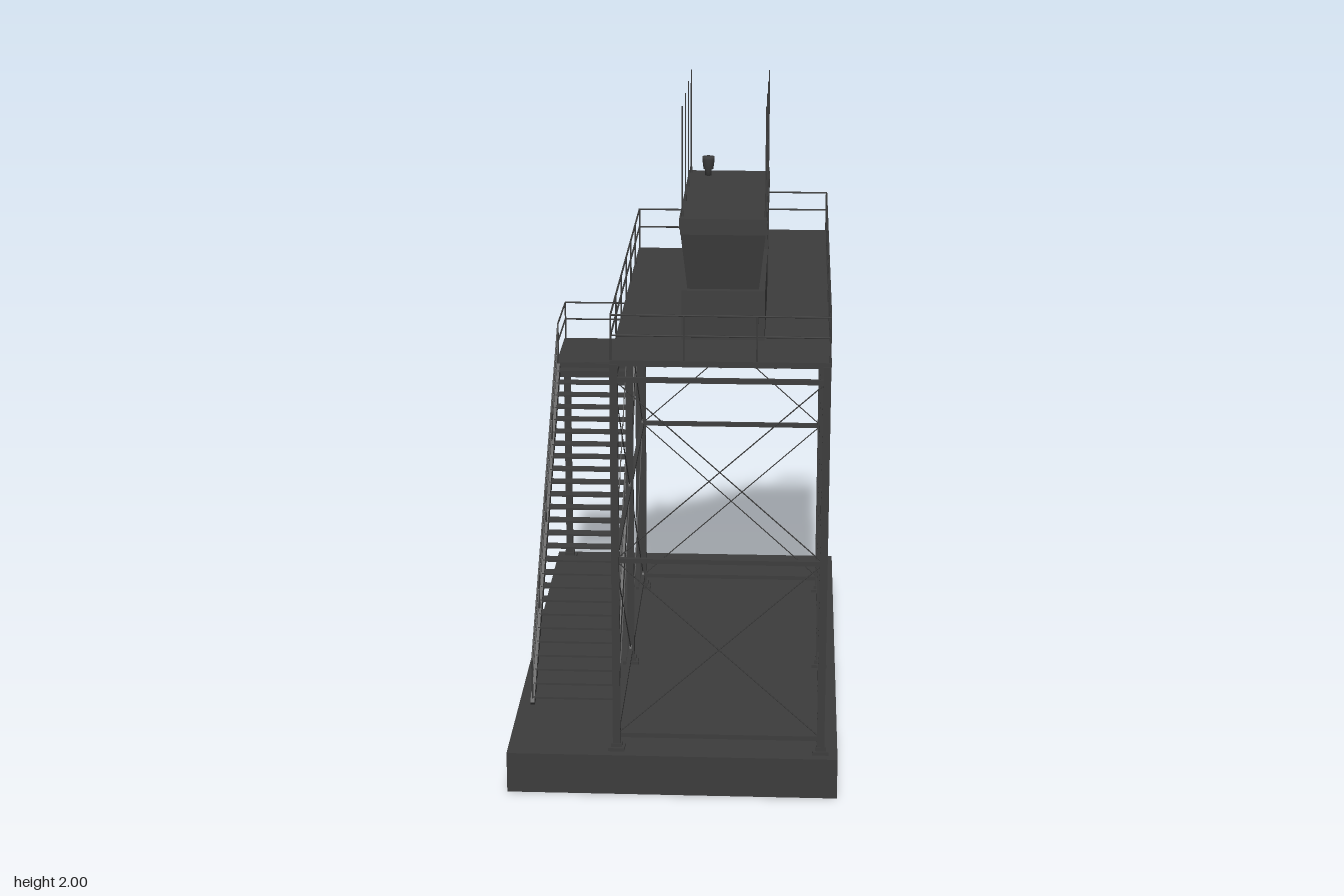
import * as THREE from 'three';

const dark = new THREE.MeshStandardMaterial({ color: 0x3c3c3c });
const darkOpen = new THREE.MeshStandardMaterial({ color: 0x3c3c3c, side: THREE.DoubleSide });
const V = (x, y, z) => new THREE.Vector3(x, y, z);

export function createModel() {
  const root = new THREE.Group();
  root.name = 'observationTower';

  const group = (name) => {
    const g = new THREE.Group();
    g.name = name;
    root.add(g);
    return g;
  };
  const add = (parent, name, geometry) => {
    const m = new THREE.Mesh(geometry, dark);
    m.name = name;
    parent.add(m);
    return m;
  };
  // Box given by its min and max on each axis
  const box = (parent, name, x0, x1, y0, y1, z0, z1) => {
    const m = add(parent, name, new THREE.BoxGeometry(x1 - x0, y1 - y0, z1 - z0));
    m.position.set((x0 + x1) / 2, (y0 + y1) / 2, (z0 + z1) / 2);
    return m;
  };
  // Round rod between two points
  const rod = (parent, name, a, b, r = 0.0028) => {
    const m = add(parent, name, new THREE.CylinderGeometry(r, r, a.distanceTo(b), 6));
    m.position.copy(a).lerp(b, 0.5);
    m.quaternion.setFromUnitVectors(V(0, 1, 0), b.clone().sub(a).normalize());
    return m;
  };
  // Rectangular beam between two points
  const beam = (parent, name, a, b, w, h) => {
    const m = add(parent, name, new THREE.BoxGeometry(w, h, a.distanceTo(b)));
    m.position.copy(a).lerp(b, 0.5);
    m.lookAt(b);
    return m;
  };
  // H-section column with a foot plate
  const column = (parent, x, z, top) => {
    const y0 = 0.125, s = 0.011;
    for (const k of [-1, 1]) box(parent, 'columnFlange', x - s, x + s, y0, top, z + k * s - 0.0025, z + k * s + 0.0025);
    box(parent, 'columnWeb', x - 0.004, x + 0.004, y0, top, z - s, z + s);
    box(parent, 'footPlate', x - 0.024, x + 0.024, y0, y0 + 0.01, z - 0.024, z + 0.024);
    box(parent, 'footCollar', x - 0.016, x + 0.016, y0, y0 + 0.022, z - 0.016, z + 0.016);
  };
  // Two-bar railing with evenly spaced posts along a straight run
  const railing = (parent, a, b, posts) => {
    const height = 0.131;
    for (const h of [height, height * 0.55]) {
      rod(parent, 'rail', a.clone().setY(a.y + h), b.clone().setY(b.y + h));
    }
    for (let i = 0; i <= posts; i++) {
      const p = a.clone().lerp(b, i / posts);
      rod(parent, 'railPost', p, p.clone().setY(p.y + height));
    }
  };

  // Foundation: a slab-shaped shell, open underneath
  const foundation = box(root, 'foundation', -0.487, 0.485, 0, 0.125, -0.81, 0.81);
  const faces = Array.from(foundation.geometry.index.array);
  faces.splice(18, 6);
  foundation.geometry.setIndex(faces);
  foundation.geometry.clearGroups();
  foundation.material = darkOpen;

  // Tower frame
  const frame = group('towerFrame');
  const xs = [-0.165, 0.435], zs = [0.76, 0.137, -0.49], levels = [0.17, 0.72, 1.265];
  for (const x of xs) for (const z of zs) column(frame, x, z, 1.312);

  const panel = (a, b) => {
    for (const y of levels) beam(frame, 'girt', a.clone().setY(y), b.clone().setY(y), 0.012, 0.014);
    for (let i = 0; i < 2; i++) {
      rod(frame, 'crossBrace', a.clone().setY(levels[i]), b.clone().setY(levels[i + 1]), 0.0018);
      rod(frame, 'crossBrace', a.clone().setY(levels[i + 1]), b.clone().setY(levels[i]), 0.0018);
    }
  };
  for (const x of xs) for (let i = 0; i < 2; i++) panel(V(x, 0, zs[i]), V(x, 0, zs[i + 1]));
  for (const z of [zs[0], zs[2]]) panel(V(xs[0], 0, z), V(xs[1], 0, z));
  // Gusset plates on the side frames
  for (const x of xs) for (const z of zs.slice(1)) for (const y of levels) {
    const g = add(frame, 'gusset', new THREE.CylinderGeometry(0.024, 0.024, 0.006, 8));
    g.rotation.z = Math.PI / 2;
    g.position.set(x, y, z);
  }

  // Main deck with side beams and shallow joists
  const deck = group('deck');
  box(deck, 'deckPlate', -0.175, 0.447, 1.313, 1.325, -0.505, 0.772);
  for (const x of [-0.165, 0.435]) box(deck, 'edgeBeam', x - 0.008, x + 0.008, 1.292, 1.314, -0.497, 0.77);
  for (let i = 0; i < 13; i++) {
    const z = -0.497 + i * 0.105;
    box(deck, 'joist', -0.17, 0.44, 1.306, 1.314, z - 0.004, z + 0.004);
  }
  for (const x of [-0.02, 0.135, 0.29]) box(deck, 'longJoist', x - 0.004, x + 0.004, 1.304, 1.314, -0.5, 0.765);

  // Upper landing, carried out from the back of the deck
  const upper = group('upperLanding');
  box(upper, 'landingPlate', 0.225, 0.447, 1.31, 1.325, -0.772, -0.5);
  for (const x of [0.232, 0.44]) box(upper, 'landingBeam', x - 0.006, x + 0.006, 1.29, 1.318, -0.772, -0.5);
  for (const z of [-0.766, -0.64]) box(upper, 'landingBeam', 0.225, 0.447, 1.29, 1.318, z - 0.006, z + 0.006);
  for (const x of [0.232, 0.435]) box(upper, 'cantileverBeam', x - 0.008, x + 0.008, 1.272, 1.291, -0.782, -0.48);

  // Lower landing on two legs
  const lower = group('lowerLanding');
  box(lower, 'landingPlate', -0.452, -0.185, 0.918, 0.932, -0.772, -0.488);
  for (const x of [-0.445, -0.192]) box(lower, 'landingBeam', x - 0.007, x + 0.007, 0.9, 0.925, -0.772, -0.488);
  for (const z of [-0.765, -0.63]) box(lower, 'landingBeam', -0.452, -0.185, 0.9, 0.925, z - 0.007, z + 0.007);
  box(lower, 'stairHeader', -0.452, -0.185, 0.88, 0.93, -0.496, -0.484);
  for (const x of [-0.443, -0.195]) column(lower, x, -0.762, 0.905);
  box(lower, 'landingTie', -0.2, -0.16, 0.9, 0.92, -0.5, -0.485);

  // Flight of stairs: stringers, treads and railings on both sides;
  // lead lengthens the railing past the foot of the stringer
  const stairs = (name, a, b, side, count, posts, lead) => {
    const g = group(name);
    const run = b.clone().sub(a);
    const foot = a.clone().addScaledVector(run, -lead);
    for (const k of [0, 1]) {
      const o = side.clone().multiplyScalar(k);
      const low = o.clone().setY(-0.018);
      beam(g, 'stringer', a.clone().add(low), b.clone().add(low), 0.012, 0.04);
      railing(g, foot.clone().add(o), b.clone().add(o), posts);
    }
    const depth = Math.hypot(run.x, run.z) / count;
    for (let i = 0; i < count; i++) {
      const t = add(g, 'tread', new THREE.BoxGeometry(Math.abs(side.x) || depth, 0.006, Math.abs(side.z) || depth));
      t.position.copy(a).lerp(b, (i + 0.5) / count).addScaledVector(side, 0.5);
      t.position.y -= 0.008;
    }
  };
  stairs('lowerStairs', V(-0.445, 0.14, 0.472), V(-0.445, 0.935, -0.48), V(0.252, 0, 0), 26, 4, 0);
  stairs('upperStairs', V(-0.2, 0.945, -0.765), V(0.23, 1.325, -0.765), V(0, 0, 0.257), 12, 3, 0.09);

  // Railings round deck and landings
  const rails = group('railings');
  railing(rails, V(-0.172, 1.325, 0.768), V(0.443, 1.325, 0.768), 3);
  railing(rails, V(-0.172, 1.325, -0.5), V(-0.172, 1.325, 0.768), 6);
  railing(rails, V(0.443, 1.325, -0.5), V(0.443, 1.325, 0.768), 6);
  railing(rails, V(-0.172, 1.325, -0.5), V(0.23, 1.325, -0.5), 2);
  railing(rails, V(0.443, 1.325, -0.766), V(0.443, 1.325, -0.5), 1);
  railing(rails, V(0.23, 1.325, -0.766), V(0.443, 1.325, -0.766), 1);
  railing(rails, V(-0.447, 0.93, -0.766), V(-0.447, 0.93, -0.49), 1);
  railing(rails, V(-0.447, 0.93, -0.766), V(-0.238, 0.93, -0.766), 1);

  // Cabin: solid base, outward-leaning glazing, roof over a back porch
  const cabin = group('cabin');
  box(cabin, 'cabinBase', 0.016, 0.256, 1.325, 1.47, 0.055, 0.555);
  const glazing = box(cabin, 'glazing', 0.014, 0.256, 1.47, 1.635, 0.055, 0.553);
  const p = glazing.geometry.attributes.position;
  for (let i = 0; i < p.count; i++) {
    if (p.getY(i) > 0) continue;
    p.setX(i, p.getX(i) * 0.85);
    if (p.getZ(i) > 0) p.setZ(i, p.getZ(i) - 0.02);
  }
  glazing.geometry.computeVertexNormals();
  // Window bars following the lean
  for (const z of [0.18, 0.3, 0.42]) for (const k of [-1, 1]) {
    beam(cabin, 'windowBar', V(0.135 + k * 0.103, 1.47, z), V(0.135 + k * 0.12, 1.635, z), 0.005, 0.005);
  }
  box(cabin, 'roofBand', 0.012, 0.258, 1.635, 1.655, 0.05, 0.555);
  box(cabin, 'roof', 0.01, 0.26, 1.65, 1.682, -0.077, 0.557);
  box(cabin, 'backWall', 0.014, 0.256, 1.325, 1.655, 0.048, 0.06);
  // Door and its frame
  for (const x of [0.088, 0.182]) box(cabin, 'doorFrame', x - 0.004, x + 0.004, 1.325, 1.59, 0.043, 0.05);
  box(cabin, 'doorFrame', 0.084, 0.186, 1.585, 1.593, 0.043, 0.05);
  box(cabin, 'door', 0.092, 0.178, 1.33, 1.585, 0.045, 0.05);
  for (const x of [0.016, 0.254]) box(cabin, 'porchPost', x - 0.004, x + 0.004, 1.325, 1.655, -0.075, -0.067);

  // Antennas along both roof edges
  const masts = group('antennas');
  for (const x of [0.018, 0.255]) for (const z of [0.527, 0.335, 0.145, -0.047]) {
    rod(masts, 'antenna', V(x, 1.68, z), V(x, 2, z), 0.0022);
    rod(masts, 'antennaBase', V(x, 1.68, z), V(x, 1.7, z), 0.004);
  }

  // Beacon on the roof: narrow stem, wider head
  const profile = [[0, 0], [0.01, 0], [0.01, 0.018], [0.015, 0.02], [0.019, 0.05], [0.019, 0.058], [0, 0.058]];
  const beacon = add(root, 'beacon', new THREE.LatheGeometry(profile.map(([r, y]) => new THREE.Vector2(r, y)), 16));
  beacon.position.set(0.072, 1.682, -0.01);

  return root;
}
